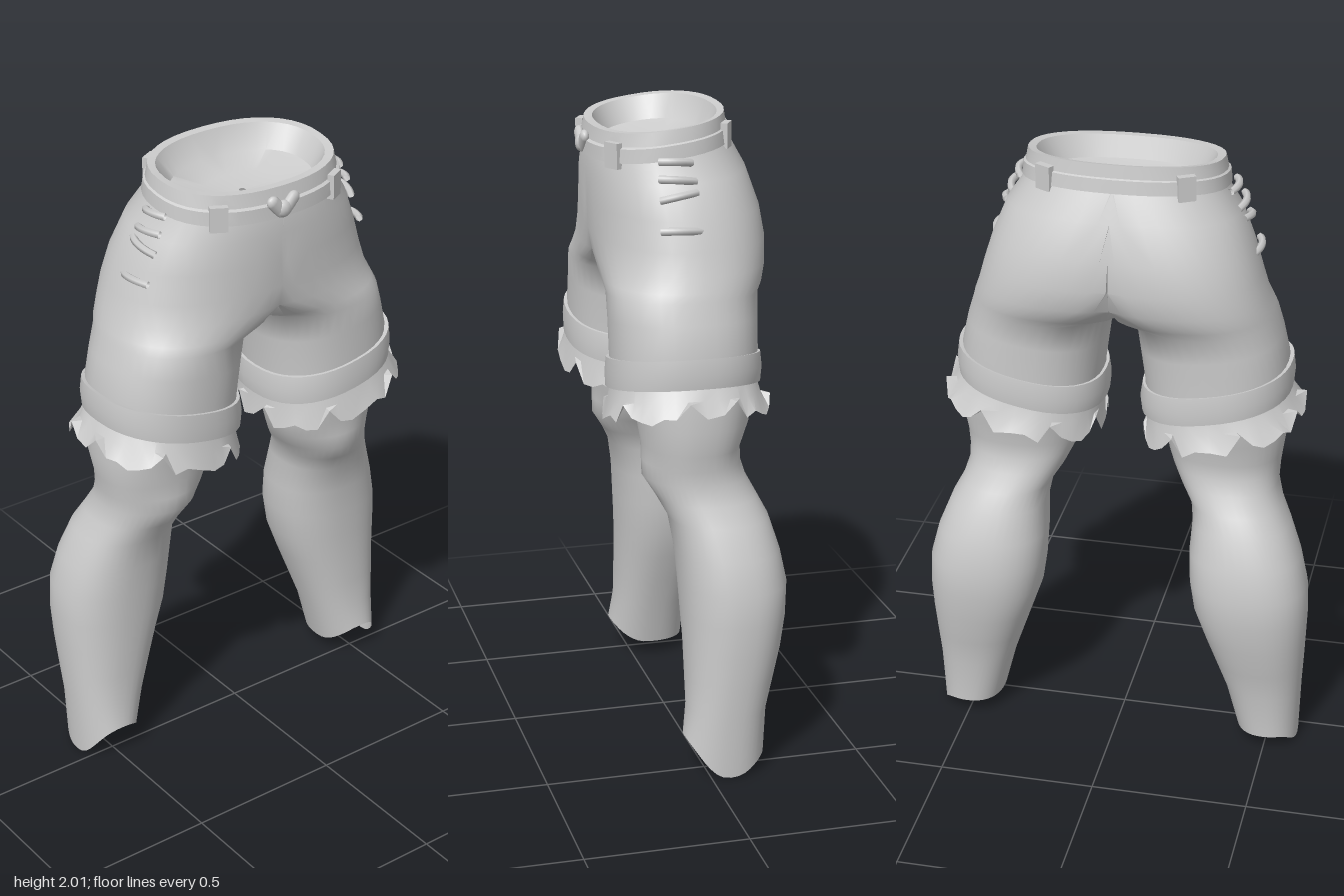
import * as THREE from 'three';
import { toCreasedNormals } from 'three/addons/utils/BufferGeometryUtils.js';

const SEG = 40;
const material = new THREE.MeshStandardMaterial({ color: 0xcccccc, side: THREE.DoubleSide });
const spow = (v, e) => Math.sign(v) * Math.pow(Math.abs(v), e);

// A row is [y, inner x at front, inner x at back, outer x, front z, back z, tilt in x, tilt in z].
// Rows whose inner x is below zero are cut at the middle plane, so both halves join there.
function ringPoint(row, t) {
  const [y, xiF, xiB, xo, zf, zb, tx = 0, tz = 0] = row;
  const s = spow(Math.sin(t), 0.88), c = spow(Math.cos(t), 0.85);
  const xi = c >= 0 ? xiF : xiB;
  const x = Math.max(0, (xi + xo) / 2 + s * (xo - xi) / 2);
  const z = (zf + zb) / 2 + c * (zf - zb) / 2;
  return new THREE.Vector3(x, y + tx * (x - 0.29) + tz * (z - 0.04), z);
}

// Skins the rows on the left side and mirrors them to the right.
function mirroredLoft(rows, adjust = () => {}, crease = 0.9) {
  const pts = rows.map((row, r) => Array.from({ length: SEG }, (_, k) => {
    const t = k / SEG * Math.PI * 2, p = ringPoint(row, t);
    adjust(p, r, k, t);
    return p;
  }));
  const pos = [];
  const tri = (a, b, c) => {
    if (Math.max(a.x, b.x, c.x) < 1e-5) return;
    for (const p of [a, b, c]) pos.push(p.x, p.y, p.z);
    for (const p of [a, c, b]) pos.push(-p.x, p.y, p.z);
  };
  for (let r = 0; r < rows.length - 1; r++) {
    for (let k = 0; k < SEG; k++) {
      const n = (k + 1) % SEG;
      const a = pts[r][k], b = pts[r][n], c = pts[r + 1][k], d = pts[r + 1][n];
      tri(a, c, b);
      tri(b, c, d);
    }
  }
  const geo = new THREE.BufferGeometry();
  geo.setAttribute('position', new THREE.Float32BufferAttribute(pos, 3));
  return toCreasedNormals(geo, crease);
}

export function createModel() {
  const group = new THREE.Group();
  const add = (name, geometry) => {
    const mesh = new THREE.Mesh(geometry, material);
    mesh.name = name;
    group.add(mesh);
    return mesh;
  };

  // Shorts: hips that split into two thighs
  add('shorts', mirroredLoft([
    [1.96, -0.29, -0.29, 0.29, 0.23, -0.155, 0, -0.13],
    [1.9, -0.3, -0.3, 0.305, 0.243, -0.18, 0, -0.12],
    [1.82, -0.34, -0.29, 0.36, 0.248, -0.225, 0, -0.06],
    [1.72, -0.38, -0.23, 0.402, 0.248, -0.258],
    [1.63, -0.35, -0.2, 0.43, 0.245, -0.268],
    [1.56, -0.22, -0.15, 0.45, 0.24, -0.26],
    [1.51, -0.06, -0.05, 0.467, 0.24, -0.238, 0.03],
    [1.48, 0.042, 0.042, 0.475, 0.24, -0.215, 0.05],
    [1.4, 0.055, 0.055, 0.495, 0.238, -0.21, 0.12],
    [1.3, 0.07, 0.07, 0.515, 0.238, -0.207, 0.17],
    [1.22, 0.075, 0.075, 0.515, 0.235, -0.205, 0.19],
  ], undefined, 1.2));

  // Waistband with its rim and the closed inside, from the middle outwards
  const band = (y, x, zf, zb) => [y, -x, -x, x, zf, zb, 0, -0.13];
  const bandMid = band(1.915, 0.316, 0.256, -0.182);
  add('waistband', mirroredLoft([
    band(1.87, 0.01, 0.05, 0.03),
    band(1.88, 0.13, 0.12, -0.04),
    band(1.905, 0.235, 0.185, -0.11),
    band(1.975, 0.275, 0.21, -0.147),
    band(1.978, 0.3, 0.236, -0.168),
    band(1.938, 0.308, 0.245, -0.174),
    band(1.934, 0.315, 0.255, -0.18),
    band(1.892, 0.319, 0.258, -0.186),
    band(1.888, 0.3, 0.24, -0.17),
  ], undefined, 0.7));

  // Belt loops
  for (const t of [0.7, Math.PI - 0.7]) {
    for (const side of [1, -1]) {
      const p = ringPoint(bandMid, t);
      const d = ringPoint(bandMid, t + 0.05).sub(ringPoint(bandMid, t - 0.05));
      const loop = add('beltLoop', new THREE.BoxGeometry(0.055, 0.078, 0.022));
      loop.position.set(p.x * side, p.y, p.z);
      loop.rotation.y = Math.atan2(-d.z, d.x) * side;
    }
  }

  // Knot at the front of the waist
  for (const side of [1, -1]) {
    const strand = add('knotStrand', new THREE.CapsuleGeometry(0.021, 0.045, 4, 10));
    strand.scale.z = 0.7;
    strand.position.set(-0.012 + 0.022 * side, 1.9, 0.256);
    strand.rotation.z = -0.75 * side;
  }
  const knot = add('knot', new THREE.SphereGeometry(0.027, 12, 8));
  knot.scale.z = 0.7;
  knot.position.set(-0.012, 1.89, 0.258);

  // Stitched cords on both hips
  for (const [x, y, length, lean] of [
    [0.338, 1.885, 0.08, 0.04], [0.362, 1.835, 0.09, 0.06],
    [0.38, 1.79, 0.09, -0.1], [0.412, 1.692, 0.1, 0.03],
  ]) {
    for (const side of [1, -1]) {
      const curve = new THREE.QuadraticBezierCurve3(
        new THREE.Vector3(side * (x - 0.012), y - lean * 0.1, 0.05 - length * 0.62),
        new THREE.Vector3(side * (x + 0.018), y + 0.008, 0.05),
        new THREE.Vector3(side * (x - 0.012), y + lean * 0.1, 0.05 + length * 0.62));
      add('hipCord', new THREE.TubeGeometry(curve, 8, 0.012, 6));
    }
  }

  // Rolled cuffs, tilted across the thigh
  const tilt = 0.19;
  add('cuffs', mirroredLoft([
    [1.285, 0.085, 0.085, 0.505, 0.22, -0.19, tilt],
    [1.288, 0.062, 0.062, 0.528, 0.248, -0.213, tilt],
    [1.24, 0.055, 0.055, 0.534, 0.252, -0.218, tilt],
    [1.195, 0.06, 0.06, 0.53, 0.25, -0.214, tilt],
    [1.192, 0.09, 0.09, 0.505, 0.22, -0.19, tilt],
  ], undefined, 0.7));

  // Flared ragged hems with narrow V cuts
  const cuts = [3, 9, 12, 18, 23, 28, 31, 37];
  add('raggedHems', mirroredLoft([
    [1.21, 0.08, 0.08, 0.515, 0.235, -0.2, tilt],
    [1.16, 0.075, 0.075, 0.54, 0.247, -0.212, tilt],
    [1.105, 0.065, 0.065, 0.572, 0.265, -0.237, tilt],
  ], (p, r, k) => {
    if (r === 2) p.y += cuts.includes(k) ? 0.05 : 0.012 * Math.sin(k * 1.9);
  }, 0.6));

  // Lower legs: knee, calf and an open ankle
  const leg = (y, xi, xo, zf, zb) => [y, xi, xi, xo, zf, zb];
  const legRows = [
    leg(1.25, 0.13, 0.51, 0.18, -0.19),
    leg(1.1, 0.135, 0.52, 0.165, -0.17),
    leg(1.02, 0.148, 0.508, 0.15, -0.143),
    leg(0.97, 0.165, 0.502, 0.14, -0.145),
    leg(0.92, 0.19, 0.5, 0.13, -0.16),
    leg(0.86, 0.23, 0.518, 0.11, -0.19),
    leg(0.8, 0.24, 0.55, 0.085, -0.22),
    leg(0.7, 0.235, 0.59, 0.068, -0.25),
    leg(0.6, 0.24, 0.615, 0.06, -0.268),
    leg(0.5, 0.255, 0.62, 0.054, -0.262),
    leg(0.4, 0.29, 0.616, 0.05, -0.245),
    leg(0.3, 0.325, 0.611, 0.05, -0.22),
    leg(0.2, 0.36, 0.605, 0.05, -0.195),
    leg(0.05, 0.4, 0.598, 0.065, -0.185),
  ];
  add('lowerLegs', mirroredLoft(legRows, (p, r, k, t) => {
    const c = Math.cos(t), s = Math.sin(t);
    // kneecap bulge
    if (c > 0) p.z += 0.025 * Math.exp(-(((p.x - 0.33) / 0.09) ** 2) - ((p.y - 0.925) / 0.06) ** 2);
    // ankle edge raised at the front and dipping on the outside
    if (r === legRows.length - 1) p.y += 0.065 * Math.max(0, c) ** 2 - 0.05 * Math.max(0, s) ** 4;
  }, 1.2));

  return group;
}
